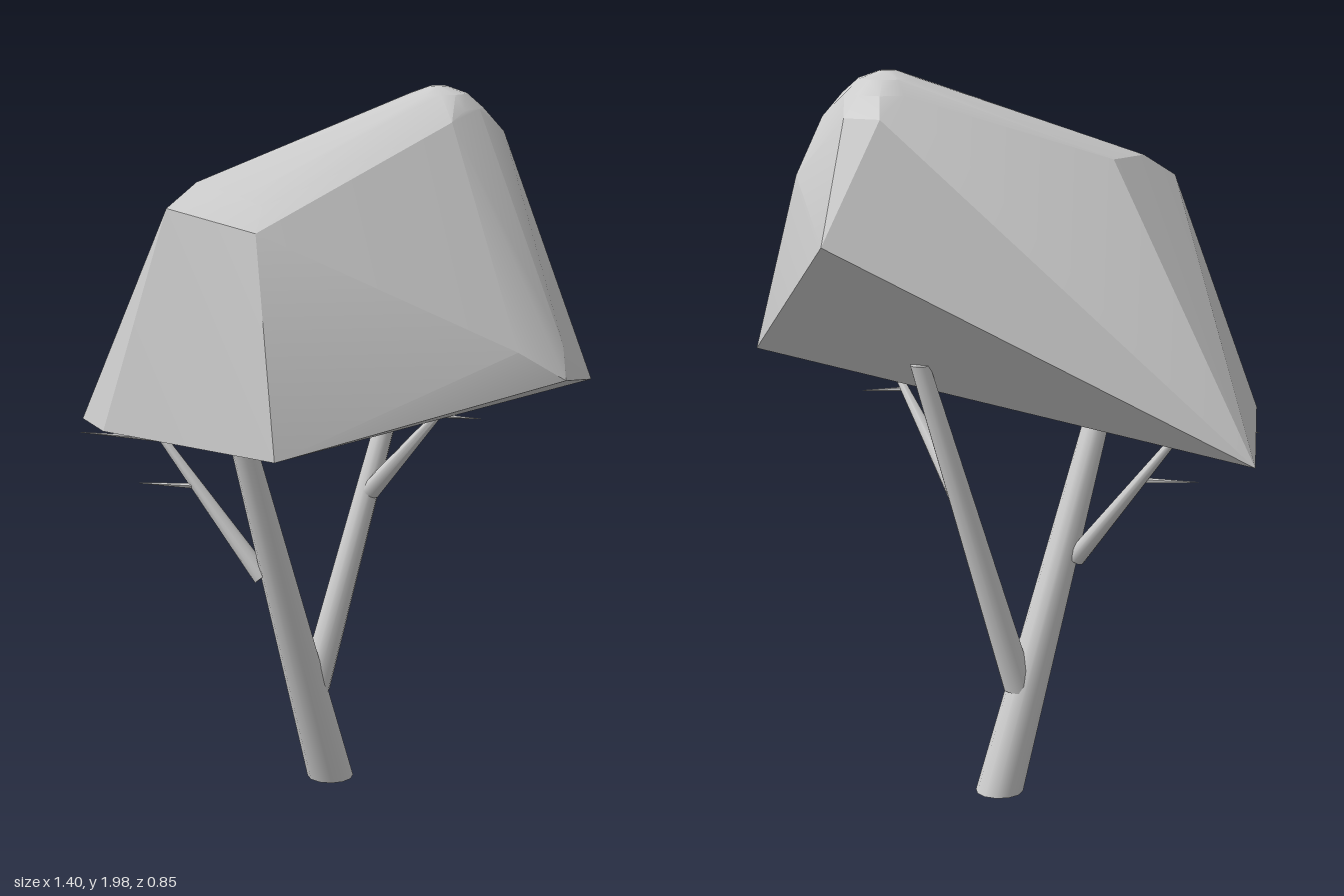
import * as THREE from 'three';
import { ConvexGeometry } from 'three/addons/geometries/ConvexGeometry.js';
import { toCreasedNormals } from 'three/addons/utils/BufferGeometryUtils.js';

const V = (x, y, z) => new THREE.Vector3(x, y, z);

export function createModel() {
  const group = new THREE.Group();
  const grey = new THREE.MeshStandardMaterial({ color: 0xcccccc });
  grey.name = 'light grey';

  function add(name, geometry) {
    const mesh = new THREE.Mesh(geometry, grey);
    mesh.name = name;
    group.add(mesh);
    return mesh;
  }

  // Tapered limb; level keeps both end rings horizontal
  function limb(name, a, b, r0, r1, level = false, sides = 12) {
    const d = b.clone().sub(a);
    const height = level ? d.y : d.length();
    const geo = new THREE.CylinderGeometry(r1, r0, height, sides);
    geo.translate(0, height / 2, 0);
    if (level) {
      geo.applyMatrix4(new THREE.Matrix4().makeShear(0, 0, d.x / d.y, d.z / d.y, 0, 0));
      geo.computeVertexNormals();
    } else {
      geo.applyQuaternion(new THREE.Quaternion().setFromUnitVectors(V(0, 1, 0), d.normalize()));
    }
    geo.translate(a.x, a.y, a.z);
    return add(name, toCreasedNormals(geo, 0.8));
  }

  // Crown: hull of the lower corners, the low end and the rounded peak
  const points = [
    V(-0.70, 1.01, -0.43), V(0.42, 1.55, -0.41), V(0.70, 1.20, 0.03),
    V(-0.18, 1.07, 0.42), V(0.46, 1.33, 0.31), V(0.59, 1.25, 0.29), V(0.59, 1.33, 0.23),
    V(-0.69, 1.09, -0.05), V(-0.63, 1.08, 0.07),
    V(-0.22, 1.64, 0.26), V(-0.45, 1.69, 0.13), V(-0.37, 1.75, 0.06),
    V(-0.30, 1.75, -0.07), V(-0.25, 1.72, 0.16), V(-0.20, 1.70, 0.20),
    V(0.53, 1.71, -0.19), V(0.47, 1.86, -0.13), V(0.31, 1.90, 0.03),
    V(0.28, 1.87, -0.32), V(0.38, 1.87, -0.29),
  ];
  const peak = V(0.29, 1.83, -0.14);
  for (let ring = 0; ring < 4; ring++) {
    const tilt = 0.15 + ring * 0.38;
    for (let i = 0; i < 12; i++) {
      points.push(new THREE.Vector3().setFromSphericalCoords(0.155, tilt, i * Math.PI / 6).add(peak));
    }
  }
  add('crown', toCreasedNormals(new ConvexGeometry(points), 0.35));

  // Trunk and the forked limb
  limb('trunk', V(-0.005, 0, -0.147), V(-0.26, 1.07, 0.09), 0.066, 0.035, true);
  limb('forkedLimb', V(-0.055, 0.28, -0.095), V(0.20, 1.21, -0.205), 0.045, 0.027, true);

  // Side branches
  limb('rightBranch', V(0.11, 0.85, -0.15), V(0.30, 1.13, 0.03), 0.028, 0.01);
  limb('leftBranch', V(-0.20, 0.64, -0.01), V(-0.48, 1.02, -0.14), 0.027, 0.011);

  // Pointed twigs
  limb('rightTwig', V(0.27, 1.10, 0.01), V(0.40, 1.09, 0.02), 0.007, 0.001, false, 5);
  limb('leftTwig', V(-0.38, 0.885, -0.09), V(-0.54, 0.89, -0.11), 0.009, 0.001, false, 5);
  limb('leftTipTwig', V(-0.46, 1.01, -0.13), V(-0.70, 1.035, -0.12), 0.01, 0.001, false, 5);

  return group;
}
